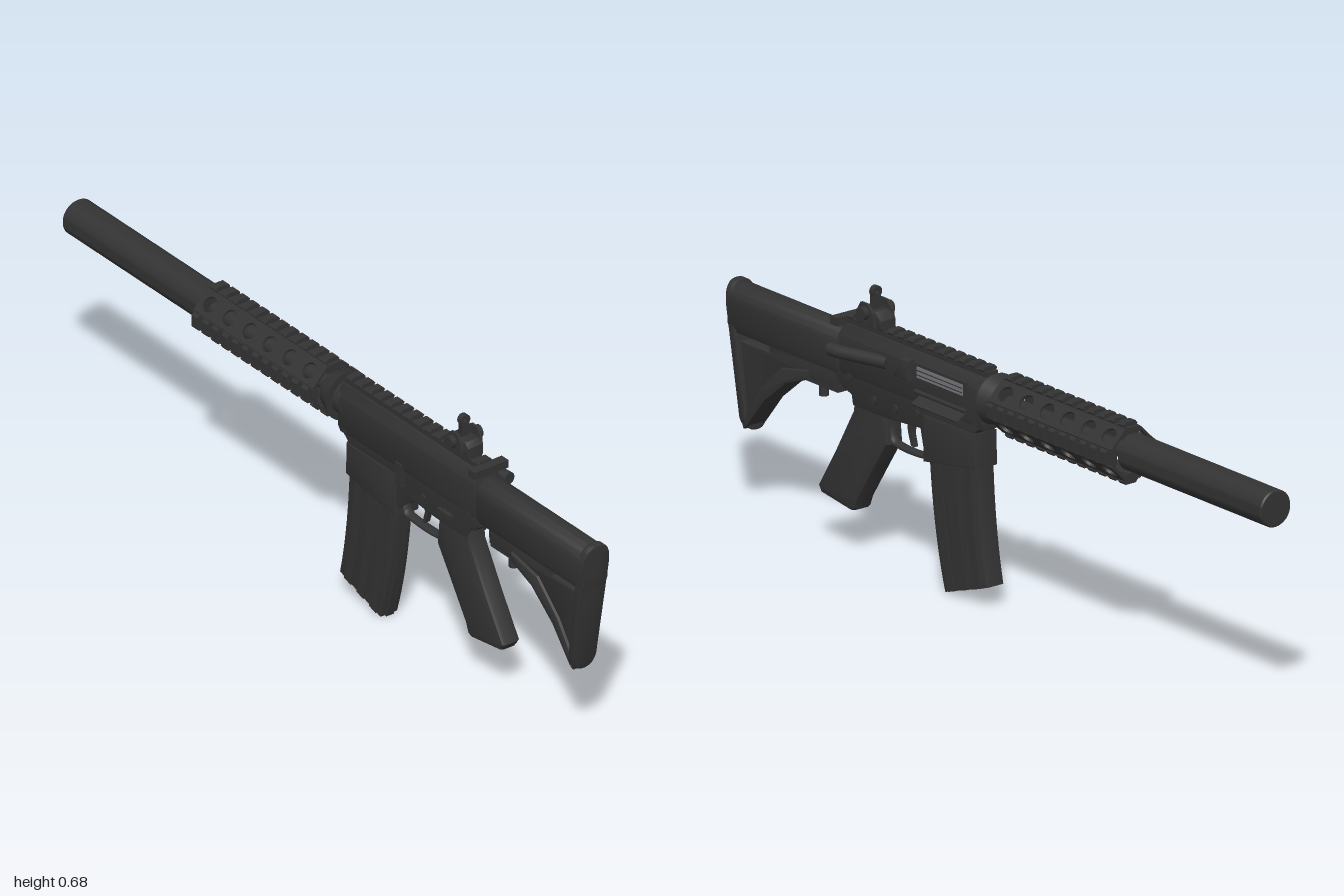
import * as THREE from 'three';
import { toCreasedNormals } from 'three/addons/utils/BufferGeometryUtils.js';

const mat = (name, color) => Object.assign(new THREE.MeshStandardMaterial({ color }), { name });

export function createModel() {
  const model = new THREE.Group();
  const gun = new THREE.Group();
  gun.name = 'rifle';
  gun.position.x = -0.004;
  model.add(gun);
  const black = mat('black', 0x333333);
  const steel = mat('bolt steel', 0x77757a);

  const add = (name, geo, parent = gun, m = black) => {
    const mesh = new THREE.Mesh(geo, m);
    mesh.name = name;
    parent.add(mesh);
    return mesh;
  };
  const box = (name, w, h, d, x, y, z, parent, m) =>
    add(name, new THREE.BoxGeometry(w, h, d).translate(x, y, z), parent, m);
  // Cylinder between two points, r0 at a and r1 at b
  const rod = (name, a, b, r0, r1 = r0, sides = 20, parent, m) => {
    const p = new THREE.Vector3(...a), q = new THREE.Vector3(...b);
    const mesh = add(name, new THREE.CylinderGeometry(r1, r0, p.distanceTo(q), sides), parent, m);
    mesh.position.copy(p).add(q).multiplyScalar(0.5);
    mesh.quaternion.setFromUnitVectors(new THREE.Vector3(0, 1, 0), q.sub(p).normalize());
    return mesh;
  };
  const shapeOf = (pts, holes = []) => {
    const s = new THREE.Shape(pts.map(p => new THREE.Vector2(...p)));
    holes.forEach(h => s.holes.push(new THREE.Path(h.map(p => new THREE.Vector2(...p)))));
    return s;
  };
  const extrude = (shape, depth, bevel) => new THREE.ExtrudeGeometry(shape, {
    depth: depth - 2 * bevel, bevelEnabled: bevel > 0, bevelSize: bevel, bevelOffset: -bevel,
    bevelThickness: bevel, bevelSegments: 2, curveSegments: 12,
  }).translate(0, 0, bevel - depth / 2);
  // Side profile in (z, y), extruded across x
  const side = (name, pts, width, bevel = 0, holes, x = 0) =>
    add(name, toCreasedNormals(extrude(shapeOf(pts, holes), width, bevel)
      .rotateY(-Math.PI / 2).translate(x, 0, 0), 0.55));
  // Cross-section in (x, y), extruded from z0 to z1
  const section = (name, shape, z0, z1, bevel = 0, parent) =>
    add(name, toCreasedNormals(extrude(shape, z1 - z0, bevel).translate(0, 0, (z0 + z1) / 2), 0.55), parent);

  // Toothed rail facing +y at height y
  const rail = (name, y, z0, z1, n, parent = gun) => {
    const g = new THREE.Group();
    g.name = name;
    parent.add(g);
    box('railBase', 0.034, 0.018, z1 - z0, 0, y - 0.02, (z0 + z1) / 2, g);
    const pitch = (z1 - z0) / n;
    const tooth = shapeOf([[-0.015, -0.014], [0.015, -0.014], [0.021, -0.007], [0.015, 0], [-0.015, 0], [-0.021, -0.007]]);
    for (let i = 0; i < n; i++) {
      const z = z0 + (i + 0.5) * pitch;
      section('railTooth', tooth, z - pitch * 0.28, z + pitch * 0.28, 0, g).position.y = y;
    }
  };

  // Barrel, suppressor and barrel collar
  const axis = 0.518;
  rod('barrel', [0, axis, 0.05], [0, axis, -0.5], 0.02);
  const can = [[0, -0.53], [0.043, -0.53], [0.046, -0.526], [0.046, 0], [0, 0]].map(p => new THREE.Vector2(...p));
  add('suppressor', toCreasedNormals(new THREE.LatheGeometry(can, 32).rotateX(Math.PI / 2), 0.6))
    .position.set(0, 0.523, -0.47);
  rod('collar', [0, axis, 0.035], [0, axis, -0.012], 0.063, 0.046, 24);
  rod('barrelNut', [0, axis, 0.06], [0, axis, 0.03], 0.045);

  // Handguard: four rails and four perforated diagonal panels
  const guard = new THREE.Group();
  guard.name = 'handguard';
  guard.position.y = axis;
  gun.add(guard);
  for (let i = 0; i < 4; i++) {
    const quarter = new THREE.Group();
    quarter.name = 'handguardQuarter';
    quarter.rotation.z = i * Math.PI / 2;
    guard.add(quarter);
    rail('handguardRail', 0.077, -0.47, -0.012, 12, quarter);
    box('railSeat', 0.046, 0.012, 0.458, 0, 0.057, -0.241, quarter);
    const panel = shapeOf([[-0.031, 0], [0.031, 0], [0.031, 0.458], [-0.031, 0.458]]);
    for (let k = 0; k < 6; k++) {
      const hole = new THREE.Path();
      hole.absellipse(0, 0.04 + k * 0.0765, 0.02, 0.022, 0, Math.PI * 2, true);
      panel.holes.push(hole);
    }
    const mesh = add('handguardPanel', extrude(panel, 0.007, 0).rotateX(-Math.PI / 2)
      .translate(0, 0.058, -0.012), quarter);
    mesh.rotation.z = Math.PI / 4;
  }

  // Upper receiver
  section('upperReceiver', shapeOf([[-0.03, 0.44], [0.03, 0.44], [0.037, 0.46], [0.037, 0.54],
    [0.024, 0.568], [-0.024, 0.568], [-0.037, 0.54], [-0.037, 0.46]]), 0.045, 0.575, 0.004);
  rail('receiverRail', 0.592, 0.05, 0.575, 14);
  box('chargingHandle', 0.1, 0.02, 0.026, 0, 0.575, 0.577);
  box('ejectionPortFrame', 0.006, 0.044, 0.19, 0.037, 0.526, 0.195);
  box('bolt', 0.006, 0.027, 0.17, 0.039, 0.527, 0.195, gun, steel);
  for (let i = 0; i < 2; i++) box('boltGroove', 0.002, 0.002, 0.168, 0.0425, 0.521 + i * 0.011, 0.195);
  rod('dustCoverHinge', [0.037, 0.476, 0.1], [0.037, 0.476, 0.29], 0.006, 0.006, 8);
  const cover = box('dustCover', 0.03, 0.003, 0.17, 0, 0, 0);
  cover.position.set(0.05, 0.461, 0.19);
  cover.rotation.z = -0.5;
  rod('forwardAssist', [0.03, 0.515, 0.4], [0.071, 0.515, 0.54], 0.016);
  rod('forwardAssistButton', [0.067, 0.515, 0.525], [0.072, 0.515, 0.565], 0.016);
  side('caseDeflector', [[0.3, 0.5], [0.36, 0.5], [0.33, 0.55], [0.3, 0.55]], 0.03, 0.004, [], 0.036);

  // Lower receiver with magazine well
  side('lowerReceiver', [[0.59, 0.47], [0.59, 0.43], [0.565, 0.41], [0.535, 0.4], [0.53, 0.375], [0.41, 0.375],
    [0.28, 0.385], [0.262, 0.31], [0.075, 0.34], [0.08, 0.425], [0.05, 0.45], [0.05, 0.475]], 0.064, 0.004);
  side('magazineWell', [[0.268, 0.425], [0.266, 0.307], [0.073, 0.338], [0.076, 0.425]], 0.07, 0.005);
  for (const [y, z] of [[0.445, 0.54], [0.455, 0.07], [0.41, 0.37], [0.41, 0.45], [0.42, 0.29]])
    rod('pin', [-0.036, y, z], [0.036, y, z], 0.009, 0.009, 12);
  box('boltCatch', 0.01, 0.06, 0.025, -0.036, 0.435, 0.285);
  box('selector', 0.012, 0.012, 0.05, -0.037, 0.41, 0.46);

  // Trigger guard and trigger
  const bow = new THREE.CatmullRomCurve3([[0.425, 0.36], [0.41, 0.314], [0.385, 0.306], [0.3, 0.306], [0.272, 0.312], [0.262, 0.33]]
    .map(([z, y]) => new THREE.Vector3(0, y, z)));
  add('triggerGuard', new THREE.TubeGeometry(bow, 24, 0.007, 8).scale(2, 1, 1));
  side('trigger', [[0.36, 0.39], [0.335, 0.39], [0.343, 0.35], [0.334, 0.318], [0.344, 0.32], [0.355, 0.352]], 0.014);

  // Pistol grip
  side('pistolGrip', [[0.53, 0.41], [0.537, 0.36], [0.6, 0.25], [0.667, 0.142], [0.655, 0.124], [0.545, 0.108],
    [0.53, 0.114], [0.52, 0.14], [0.465, 0.225], [0.412, 0.305], [0.42, 0.39]], 0.056, 0.012);

  // Curved magazine with side ribs and a rear spine
  const back = new THREE.QuadraticBezierCurve(new THREE.Vector2(0.26, 0.35), new THREE.Vector2(0.247, 0.15), new THREE.Vector2(0.2, 0));
  const front = new THREE.QuadraticBezierCurve(new THREE.Vector2(0.078, 0.37), new THREE.Vector2(0.072, 0.19), new THREE.Vector2(0.04, 0.053));
  const strip = (a, b) => {
    const line = (t, rev) => {
      const out = back.getPoints(10).map((p, i) => p.clone().lerp(front.getPoint(i / 10), t).toArray());
      return rev ? out.reverse() : out;
    };
    return [...line(a), ...line(b, true)];
  };
  side('magazine', strip(0.03, 1), 0.052, 0.003);
  side('magazineSpine', strip(0, 0.1), 0.022);
  for (const t of [0.12, 0.42, 0.72]) side('magazineRib', strip(t, t + 0.16), 0.056);

  // Shoulder stock: rounded body, buttpad and cut-out web
  const body = new THREE.Shape();
  body.moveTo(-0.032, 0.44).lineTo(0.032, 0.44).lineTo(0.04, 0.46).lineTo(0.04, 0.516);
  body.absarc(0, 0.516, 0.04, 0, Math.PI, false).lineTo(-0.04, 0.46).closePath();
  section('stockBody', body, 0.58, 0.985, 0.003);
  rod('bufferTube', [0, 0.508, 0.6], [0, 0.508, 0.55], 0.036);
  const pad = new THREE.Shape();
  pad.moveTo(-0.034, 0.235).quadraticCurveTo(-0.028, 0.203, 0, 0.203).quadraticCurveTo(0.028, 0.203, 0.034, 0.235);
  pad.lineTo(0.04, 0.5).quadraticCurveTo(0.04, 0.562, 0, 0.562).quadraticCurveTo(-0.04, 0.562, -0.04, 0.5).closePath();
  const butt = section('buttpad', pad, -0.024, 0, 0.004);
  const pos = butt.geometry.attributes.position;
  for (let i = 0; i < pos.count; i++) // lean the pad forward toward its toe
    pos.setZ(i, pos.getZ(i) + 1 - (0.562 - pos.getY(i)) * 0.155);
  butt.geometry = toCreasedNormals(butt.geometry, 0.55);
  side('stockWeb', [[0.985, 0.45], [0.97, 0.41], [0.938, 0.208], [0.925, 0.215], [0.86, 0.295], [0.78, 0.362], [0.7, 0.395], [0.61, 0.395], [0.605, 0.45]],
    0.046, 0.003, [[[0.962, 0.418], [0.962, 0.433], [0.85, 0.433], [0.85, 0.418]]]);
  side('stockStrut', [[0.945, 0.225], [0.938, 0.206], [0.925, 0.215], [0.86, 0.295], [0.78, 0.36], [0.7, 0.392], [0.7, 0.415], [0.8, 0.395], [0.88, 0.32]], 0.062, 0.006);
  box('adjustLever', 0.03, 0.016, 0.13, 0, 0.39, 0.67);
  rod('adjustPin', [0, 0.4, 0.675], [0, 0.355, 0.675], 0.012, 0.012, 12);

  // Rear sight with aperture post and adjustment knobs
  side('sightBase', [[0.53, 0.585], [0.435, 0.585], [0.435, 0.606], [0.46, 0.622], [0.515, 0.622], [0.53, 0.612]], 0.044, 0.003);
  for (const s of [-1, 1]) {
    side('sightEar', [[0.515, 0.59], [0.45, 0.59], [0.455, 0.62], [0.475, 0.64], [0.5, 0.64], [0.512, 0.62]], 0.007, 0, [], s * 0.029);
    rod('sightKnob', [s * 0.03, 0.617, 0.483], [s * 0.046, 0.617, 0.483], 0.016, 0.016, 16);
  }
  const post = new THREE.Shape();
  post.moveTo(-0.011, 0.6).lineTo(0.011, 0.6).lineTo(0.011, 0.655);
  post.absarc(0, 0.664, 0.014, -0.68, Math.PI + 0.68, false).closePath();
  const eye = new THREE.Path();
  eye.absarc(0, 0.664, 0.005, 0, Math.PI * 2, true);
  post.holes.push(eye);
  section('sightPost', post, 0.476, 0.49);

  return model;
}
